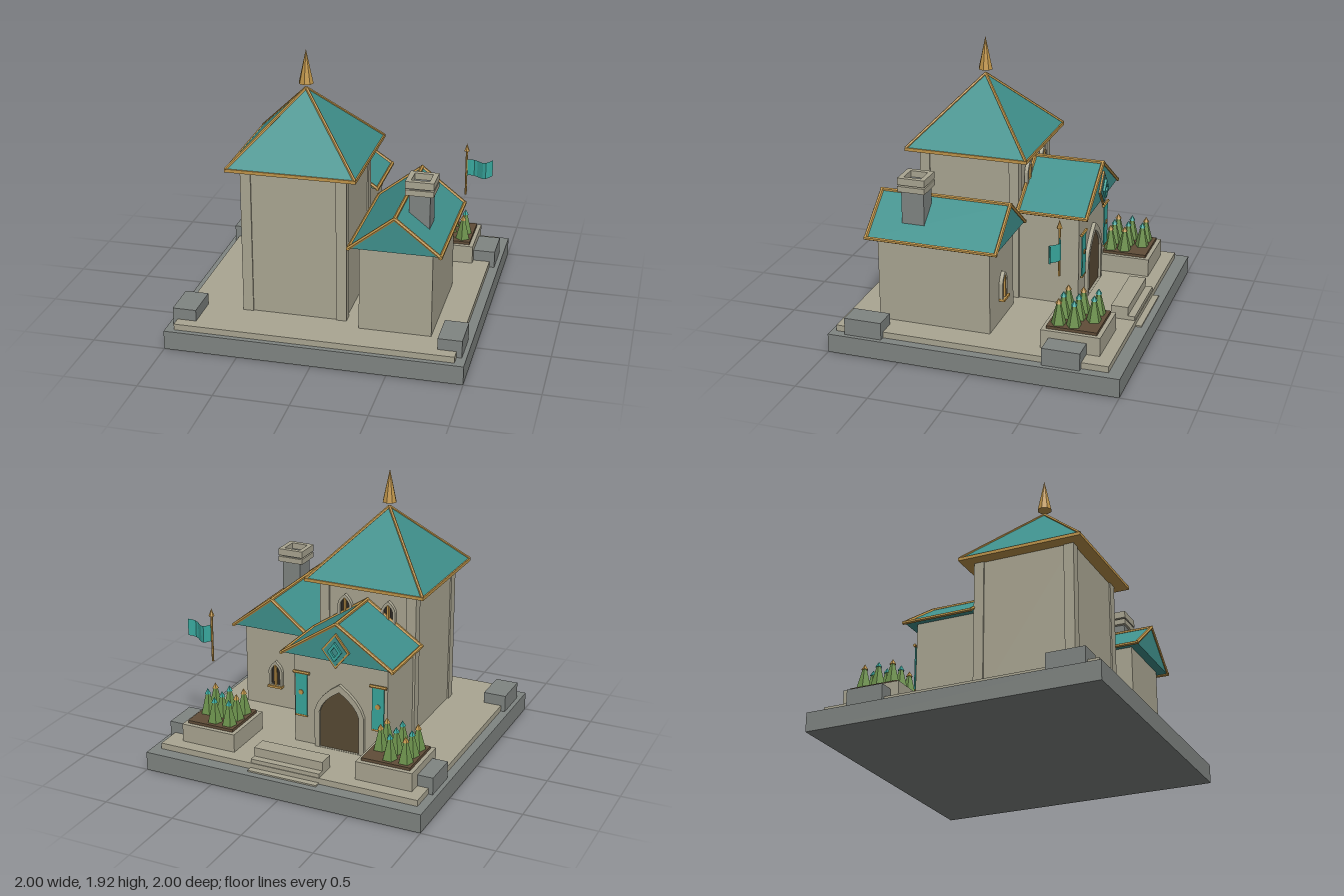
import * as THREE from 'three';

const mat = (name, hex, opts = {}) => {
  const m = new THREE.MeshStandardMaterial({ color: hex, flatShading: true, ...opts });
  m.name = name;
  return m;
};

export function createModel() {
  const stone = mat('paleStone', 0xaaa692);
  const grey = mat('greyStone', 0x808582);
  const teal = mat('tealRoof', 0x3f908c);
  const cloth = mat('brightTealCloth', 0x38a79d, { side: THREE.DoubleSide });
  const gold = mat('goldTrim', 0xc0954a);
  const green = mat('leafGreen', 0x6c914c);
  const soil = mat('soilBrown', 0x604d38);
  const wood = mat('doorWood', 0x584a34);
  const dark = mat('darkGlass', 0x2c2824);

  const model = new THREE.Group();
  const add = (name, geo, material, parent = model) => {
    const m = new THREE.Mesh(geo, material);
    m.name = name;
    parent.add(m);
    return m;
  };
  const group = (name, x = 0, y = 0, z = 0) => {
    const g = new THREE.Group();
    g.name = name;
    g.position.set(x, y, z);
    model.add(g);
    return g;
  };
  // Box from its min and max along each axis
  const box = (name, [x0, x1], [y0, y1], [z0, z1], material, parent) => {
    const m = add(name, new THREE.BoxGeometry(x1 - x0, y1 - y0, z1 - z0), material, parent);
    m.position.set((x0 + x1) / 2, (y0 + y1) / 2, (z0 + z1) / 2);
    return m;
  };
  // Straight trim rod between two points
  const rod = (name, a, b, r, material, parent) => {
    const p = new THREE.Vector3(...a), q = new THREE.Vector3(...b), d = q.clone().sub(p);
    const m = add(name, new THREE.CylinderGeometry(r, r, d.length(), 6), material, parent);
    m.position.copy(p).add(q).multiplyScalar(0.5);
    m.quaternion.setFromUnitVectors(new THREE.Vector3(0, 1, 0), d.normalize());
    return m;
  };
  const extrude = (shape, depth) => new THREE.ExtrudeGeometry(shape, { depth, bevelEnabled: false, curveSegments: 4 });
  const polygon = pts => new THREE.Shape(pts.map(p => new THREE.Vector2(...p)));

  // Ground slabs, corner blocks and entrance steps
  box('baseSlab', [-1, 1], [0, 0.13], [-1, 1], grey);
  box('paving', [-0.94, 0.935], [0.13, 0.172], [-0.91, 0.965], stone);
  for (const s of [-1, 1])
    for (const [z0, z1] of [[0.63, 0.89], [-0.73, -0.475]])
      box('cornerBlock', s < 0 ? [-0.97, -0.81] : [0.81, 0.97], [0.13, 0.25], [z0, z1], grey);
  [[0.14, -0.953], [0.2, -0.905], [0.262, -0.857]].forEach(([top, z]) =>
    box('entranceStep', [-0.25, 0.25], [0.12, top], [z, -0.74], stone));

  // Tower with corner pilasters
  const TX = -0.2, TZ = 0.3;
  box('towerWall', [TX - 0.345, TX + 0.345], [0.17, 1.19], [TZ - 0.345, TZ + 0.345], stone);
  for (const sx of [-1, 1])
    for (const sz of [-1, 1]) {
      const p = add('towerPilaster', new THREE.BoxGeometry(0.07, 1.02, 0.07), stone);
      p.position.set(TX + sx * 0.32, 0.68, TZ + sz * 0.32);
    }

  // Pyramid roof, eave slab, hip rods and spire
  box('towerEave', [TX - 0.435, TX + 0.435], [1.19, 1.212], [TZ - 0.435, TZ + 0.435], gold);
  const pyramid = add('towerRoof', new THREE.ConeGeometry(0.43 * Math.SQRT2, 0.45, 4).rotateY(Math.PI / 4), teal);
  pyramid.position.set(TX, 1.432, TZ);
  for (const sx of [-1, 1])
    for (const sz of [-1, 1])
      rod('hipTrim', [TX + sx * 0.428, 1.208, TZ + sz * 0.428], [TX, 1.655, TZ], 0.011, gold);
  add('spire', new THREE.ConeGeometry(0.05, 0.23, 8), gold).position.set(TX, 1.803, TZ);

  // Gabled wings: closed prism roof edged with trim
  const gableRoof = (name, cx, half, y0, y1, z0, z1) => {
    const g = group(name);
    const tri = polygon([[cx - half, y0], [cx + half, y0], [cx, y1]]);
    add('roofPrism', extrude(tri, z1 - z0), teal, g).position.z = z0;
    rod('ridgeTrim', [cx, y1, z0 - 0.01], [cx, y1, z1 + 0.01], 0.013, gold, g);
    for (const s of [-1, 1]) {
      const ex = cx + s * half;
      rod('eaveTrim', [ex, y0, z0 - 0.01], [ex, y0, z1 + 0.01], 0.013, gold, g);
      for (const z of [z0, z1]) rod('rakeTrim', [ex, y0, z], [cx, y1, z], 0.013, gold, g);
    }
  };
  box('sideWingWall', [0.257, 0.74], [0.17, 0.772], [-0.05, 0.73], stone);
  gableRoof('sideWingRoof', 0.5, 0.3, 0.77, 1.005, -0.112, 0.79);
  box('entranceWall', [-0.54, 0.14], [0.17, 0.837], [-0.477, 0], stone);
  gableRoof('entranceRoof', TX, 0.4, 0.835, 1.102, -0.543, -0.06);

  // Chimney with two hollow caps
  const CX = 0.617, CZ = 0.497;
  box('chimneyShaft', [CX - 0.069, CX + 0.069], [0.74, 1.14], [CZ - 0.078, CZ + 0.078], grey);
  for (const [y, h] of [[1.087, 0.038], [1.135, 0.048]]) {
    const r = 0.094, q = 0.06;
    const ring = polygon([[-r, -r], [r, -r], [r, r], [-r, r]]);
    ring.holes.push(polygon([[-q, -q], [-q, q], [q, q], [q, -q]]));
    add('chimneyCap', extrude(ring, h).rotateX(-Math.PI / 2), stone).position.set(CX, y, CZ);
  }

  // Pointed arch openings facing the back
  const arch = (w, h, spring, y = 0) => {
    const s = new THREE.Shape();
    s.moveTo(-w / 2, y);
    s.lineTo(w / 2, y);
    s.lineTo(w / 2, spring);
    s.quadraticCurveTo(w * 0.42, spring + (h - spring) * 0.55, 0, h);
    s.quadraticCurveTo(-w * 0.42, spring + (h - spring) * 0.55, -w / 2, spring);
    return s;
  };
  const opening = (name, x, y, z, w, h, spring, rim, base, pane) => {
    const g = group(name, x, y, z);
    g.rotation.y = Math.PI;
    const frame = arch(w, h, spring);
    const inner = () => arch(w - 2 * rim, h - rim * 1.5, spring - rim * 0.2, base);
    frame.holes.push(inner());
    add('archFrame', extrude(frame, 0.025), stone, g);
    add('archPanel', extrude(inner(), 0.009), pane, g);
    return g;
  };
  opening('door', TX, 0.172, -0.477, 0.36, 0.48, 0.27, 0.035, 0.002, wood);
  for (const [x, y] of [[TX - 0.16, 0.92], [TX + 0.16, 0.92], [0.5, 0.325]]) {
    const w = opening('archedWindow', x, y, -0.05, 0.105, 0.2, 0.125, 0.018, 0.018, dark);
    box('mullion', [-0.007, 0.007], [0.018, 0.17], [0.005, 0.03], gold, w);
    box('sill', [-0.055, 0.055], [0, 0.016], [0, 0.04], gold, w);
  }

  // Wall banners either side of the door
  for (const s of [-1, 1]) {
    const b = group('wallBanner', TX + s * 0.28, 0, -0.477);
    box('bannerCloth', [-0.043, 0.043], [0.38, 0.685], [-0.022, -0.014], cloth, b);
    rod('bannerRod', [-0.06, 0.69, -0.018], [0.06, 0.69, -0.018], 0.011, gold, b);
    box('bannerHem', [-0.043, 0.043], [0.372, 0.384], [-0.024, -0.012], gold, b);
    add('bannerDisc', new THREE.CylinderGeometry(0.018, 0.018, 0.006, 8).rotateX(Math.PI / 2), gold, b)
      .position.set(0, 0.55, -0.025);
  }

  // Layered diamond on the entrance gable
  const diamond = (w, h) => polygon([[-w, 0], [0, -h], [w, 0], [0, h]]);
  const emblem = group('gableDiamond', TX, 0.915, -0.543);
  emblem.rotation.y = Math.PI;
  add('diamondBorder', extrude(diamond(0.1, 0.125), 0.012), gold, emblem);
  add('diamondField', extrude(diamond(0.084, 0.105), 0.016), teal, emblem);
  const ring = diamond(0.05, 0.068);
  ring.holes.push(diamond(0.026, 0.036));
  add('diamondRing', extrude(ring, 0.032), cloth, emblem);

  // Planters with rows of pointed shrubs
  const tips = [[gold, teal, null, teal, teal, gold, gold, teal, gold], [teal, teal, null, gold, teal, teal, gold, teal, gold]];
  [-0.665, 0.62].forEach((px, k) => {
    const g = group('planter', px, 0, -0.62);
    box('planterBox', [-0.198, 0.198], [0.17, 0.3], [-0.2, 0.2], stone, g);
    box('planterSoil', [-0.17, 0.17], [0.3, 0.32], [-0.17, 0.17], soil, g);
    tips[k].forEach((tip, i) => {
      if (!tip) return;
      const x = (i % 3 - 1) * 0.11, z = (Math.floor(i / 3) - 1) * 0.103;
      add('shrub', new THREE.CylinderGeometry(0.013, 0.052, 0.15, 5), green, g).position.set(x, 0.394, z);
      add('shrubTip', new THREE.ConeGeometry(0.023, 0.038, 5), tip === teal ? cloth : gold, g).position.set(x, 0.48, z);
    });
  });

  // Flagpole with waving flag
  const flag = group('flag', 0.74, 0, -0.52);
  rod('flagPole', [0, 0.66, 0], [0, 1.0, 0], 0.008, gold, flag);
  add('flagPoleTip', new THREE.ConeGeometry(0.02, 0.055, 6), gold, flag).position.y = 1.017;
  const wave = new THREE.PlaneGeometry(0.18, 0.12, 8, 1);
  const pos = wave.attributes.position;
  for (let i = 0; i < pos.count; i++) {
    const t = pos.getX(i) / 0.18 + 0.5;
    pos.setZ(i, -Math.sin(t * Math.PI * 2) * 0.027);
    pos.setY(i, pos.getY(i) - Math.sin(t * Math.PI) * 0.018 + t * 0.012);
  }
  wave.computeVertexNormals();
  add('flagCloth', wave, cloth, flag).position.set(0.097, 0.866, 0);

  return model;
}
